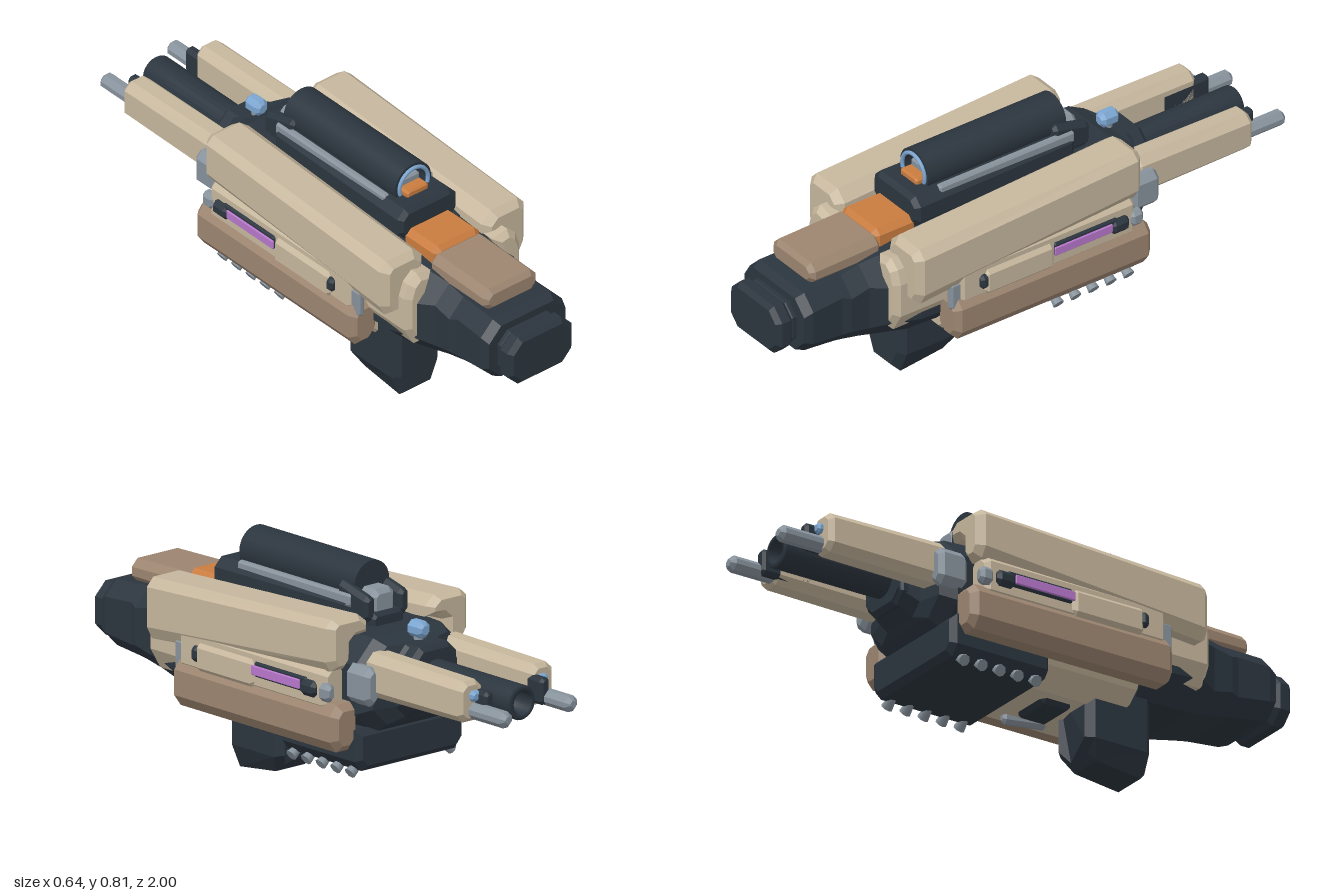
import * as THREE from 'three';

const mat = (name, color) => new THREE.MeshStandardMaterial({ name, color });

export function createModel() {
  const root = new THREE.Group();
  root.name = 'sciFiRifle';
  const dark = mat('darkMetal', 0x2b353e), tan = mat('sandArmour', 0xc6b79d), brown = mat('brownArmour', 0x9c8570);
  const orange = mat('orangeAccent', 0xc97c3e), grey = mat('greyMetal', 0x87929c);
  const blue = mat('blueGlow', 0x7ba5d0), purple = mat('purpleLight', 0xb877cc);

  const add = (name, geo, material, parent = root) => {
    const m = new THREE.Mesh(geo, material);
    m.name = name;
    parent.add(m);
    return m;
  };

  // Octagonal outline of a chamfered rectangle
  const octagon = (x0, x1, y0, y1, c) => [[x0 + c, y0], [x1 - c, y0], [x1, y0 + c], [x1, y1 - c],
    [x1 - c, y1], [x0 + c, y1], [x0, y1 - c], [x0, y0 + c]];

  // Outline extruded from z0 to z1 with a chamfered rim; warp may reshape it
  const prism = (pts, z0, z1, b = 0.015, warp) => {
    const shape = new THREE.Shape(pts.map(p => new THREE.Vector2(p[0], p[1])));
    const g = new THREE.ExtrudeGeometry(shape, { depth: z1 - z0 - 2 * b, bevelEnabled: b > 0,
      bevelSize: b, bevelThickness: b, bevelOffset: -b, bevelSegments: 1, curveSegments: 20 });
    g.translate(0, 0, z0 + b);
    if (warp) {
      const p = g.attributes.position, v = new THREE.Vector3();
      for (let i = 0; i < p.count; i++) {
        warp(v.fromBufferAttribute(p, i));
        p.setXYZ(i, v.x, v.y, v.z);
      }
      g.computeVertexNormals();
    }
    return g;
  };
  const block = (x0, x1, y0, y1, z0, z1, c = 0.015, warp) =>
    prism(octagon(x0, x1, y0, y1, c), z0, z1, Math.min(c, 0.02) * 0.8, warp);

  // Octagonal sections [z, halfWidth, y0, y1, chamfer], listed by rising z
  const loft = sections => {
    const rings = sections.map(([z, w, y0, y1, c]) => octagon(-w, w, y0, y1, c).map(p => [p[0], p[1], z]));
    const pos = rings.flat(2), idx = [], last = (rings.length - 1) * 8;
    for (let r = 0; r < rings.length - 1; r++) for (let i = 0; i < 8; i++) {
      const a = r * 8 + i, b = r * 8 + (i + 1) % 8;
      idx.push(a, b, b + 8, a, b + 8, a + 8);
    }
    for (let i = 1; i < 7; i++) idx.push(0, i + 1, i, last, last + i, last + i + 1);
    const g = new THREE.BufferGeometry();
    g.setAttribute('position', new THREE.Float32BufferAttribute(pos, 3));
    g.setIndex(idx);
    const flat = g.toNonIndexed();
    flat.computeVertexNormals();
    return flat;
  };
  const rod = (r0, r1, z0, z1, x, y, n = 24) =>
    new THREE.CylinderGeometry(r1, r0, z1 - z0, n).rotateX(Math.PI / 2).translate(x, y, (z0 + z1) / 2);

  // Core body, stock and butt
  add('coreBody', loft([[-0.5, 0.09, 0.41, 0.57, 0.03], [-0.43, 0.11, 0.36, 0.6, 0.04], [-0.41, 0.19, 0.34, 0.6, 0.06],
    [-0.36, 0.225, 0.3, 0.62, 0.08], [-0.1, 0.22, 0.28, 0.63, 0.07], [0.4, 0.22, 0.27, 0.61, 0.07],
    [0.44, 0.2, 0.27, 0.6, 0.07]]), dark);
  add('stock', loft([[0.38, 0.225, 0.26, 0.6, 0.08], [0.5, 0.225, 0.265, 0.59, 0.08], [0.61, 0.205, 0.28, 0.575, 0.08],
    [0.67, 0.175, 0.29, 0.565, 0.06], [0.74, 0.175, 0.305, 0.55, 0.06], [0.77, 0.165, 0.31, 0.55, 0.05],
    [0.89, 0.17, 0.325, 0.545, 0.05], [0.92, 0.16, 0.335, 0.53, 0.05]]), dark);
  add('buttNeck', block(-0.125, 0.12, 0.345, 0.505, 0.9, 0.95, 0.04), dark);
  add('buttPlate', block(-0.14, 0.13, 0.333, 0.513, 0.935, 1.0, 0.045), dark);
  add('cheekRest', block(-0.115, 0.107, 0.54, 0.625, 0.57, 0.85, 0.025,
    v => { if (v.z > 0.7 && v.y > 0.58) v.y -= 0.006; }), brown);
  add('orangeCover', block(-0.1, 0.095, 0.56, 0.642, 0.42, 0.585, 0.02), orange);

  // Offset pistol grip
  add('grip', prism([[-0.15, 0.08], [-0.115, 0], [0.01, 0], [0.045, 0.08], [0.045, 0.32], [-0.15, 0.32]],
    0.2, 0.45, 0.025, v => { if (v.y < 0.06 && v.z < 0.3) { v.y += 0.02; v.z += 0.03; } }), dark);

  // Underside: sand keel, dark box and lever
  add('keel', prism([[-0.22, 0.31], [-0.2, 0.26], [-0.13, 0.2], [0.13, 0.2], [0.2, 0.26], [0.22, 0.31]],
    -0.02, 0.36, 0.012), tan);
  add('underBox', prism([[-0.23, 0.33], [-0.23, 0.225], [-0.2, 0.19], [0.2, 0.19], [0.23, 0.225], [0.23, 0.33]],
    -0.385, 0.0, 0.02), dark);
  add('lever', block(0.078, 0.11, 0.17, 0.235, 0.03, 0.2, 0.012,
    v => { v.y += Math.max(0, v.z - 0.06) * 0.15; }), grey);
  add('leverHousing', block(-0.1, 0.07, 0.185, 0.25, 0.06, 0.18, 0.02), dark);

  for (const s of [1, -1]) {
    const side = new THREE.Group();
    side.name = s > 0 ? 'leftSide' : 'rightSide';
    root.add(side);
    const mir = pts => pts.map(([x, y]) => [s * x, y]);
    const put = (name, m, x0, x1, y0, y1, z0, z1, c, warp) =>
      add(name, prism(mir(octagon(x0, x1, y0, y1, c)), z0, z1, Math.min(c, 0.02) * 0.8, warp), m, side);

    // Large upper shell, shallower towards the muzzle
    add('upperPanel', prism(mir([[0.165, 0.695], [0.275, 0.695], [0.303, 0.66], [0.303, 0.5], [0.28, 0.45], [0.225, 0.45],
      [0.2, 0.49], [0.2, 0.57], [0.18, 0.595], [0.125, 0.6], [0.125, 0.65]]), -0.33, 0.57, 0.025, v => {
      const t = (0.57 - v.z) / 0.9, k = (v.y - 0.45) / 0.245;
      v.y = THREE.MathUtils.lerp(0.45 + 0.075 * t, 0.655 + 0.04 * t, k);
    }), tan, side);
    // Shoulder collar around the stock
    add('shoulder', prism(mir([[0.13, 0.585], [0.19, 0.6], [0.225, 0.57], [0.242, 0.52], [0.242, 0.4], [0.2, 0.33],
      [0.16, 0.33], [0.16, 0.5]]), 0.38, 0.615, 0.02), tan, side);
    // Middle and lower shells
    put('middlePanel', tan, 0.2, 0.3, 0.38, 0.54, -0.3, 0.4, 0.03);
    put('middleBulge', tan, 0.25, 0.314, 0.39, 0.505, 0.03, 0.31, 0.025);
    add('lowerPanel', prism(mir([[0.2, 0.3], [0.235, 0.262], [0.285, 0.262], [0.313, 0.3], [0.313, 0.385], [0.285, 0.42],
      [0.2, 0.42]]), -0.36, 0.425, 0.022), brown, side);
    // Light strip and its fittings
    put('stripBed', dark, 0.29, 0.309, 0.44, 0.49, -0.22, 0.03, 0.006);
    put('lightStrip', purple, 0.308, 0.316, 0.447, 0.48, -0.195, 0.035, 0.003);
    put('stripCap', dark, 0.28, 0.32, 0.43, 0.485, -0.265, -0.195, 0.016);
    put('bulgePlug', dark, 0.28, 0.318, 0.43, 0.482, 0.295, 0.325, 0.012);
    put('stripEnd', grey, 0.27, 0.312, 0.425, 0.485, -0.325, -0.275, 0.015);
    put('sideLatch', grey, 0.262, 0.29, 0.378, 0.48, 0.37, 0.43, 0.01);
    // Muzzle side: bracket, sand prong, grey tip, blue lamp
    put('muzzleBracket', grey, 0.18, 0.245, 0.42, 0.55, -0.44, -0.33, 0.025);
    put('prong', tan, 0.1, 0.205, 0.44, 0.588, -0.84, -0.38, 0.028,
      v => { if (v.z < -0.6) v.y = 0.51 + (v.y - 0.51) * 0.92; });
    put('prongTip', grey, 0.112, 0.168, 0.455, 0.508, -1.0, -0.78, 0.018);
    put('prongBack', dark, 0.1, 0.14, 0.46, 0.55, -0.89, -0.7, 0.012);
    put('prongLamp', blue, 0.125, 0.165, 0.515, 0.55, -0.858, -0.82, 0.01);
    // Teeth below the dark box
    for (let i = 0; i < 5; i++) {
      const tooth = add('tooth', new THREE.CylinderGeometry(0.007, 0.02, 0.08, 8), grey, side);
      tooth.rotation.z = s * 1.0;
      tooth.position.set(s * 0.185, 0.2, -0.05 - i * 0.07);
    }
    // Sight rail and clamp ears
    put('sightRail', grey, 0.078, 0.105, 0.68, 0.722, -0.2, 0.335, 0.007);
    put('clampEar', dark, 0.05, 0.095, 0.64, 0.755, -0.27, -0.13, 0.015,
      v => { if (v.y > 0.7 && v.z < -0.2) v.y -= 0.03; });
  }

  // Barrel with hollow mouth
  const bore = [[0, -0.4], [0.058, -0.4], [0.058, -0.905], [0.053, -0.912], [0.038, -0.912], [0.038, -0.8], [0, -0.8]];
  add('barrel', prism([...Array(24)].map((_, i) => {
    const a = i / 24 * Math.PI * 2;
    return [0.058 * Math.cos(a), 0.495 + 0.058 * Math.sin(a)];
  }), -0.8, -0.4, 0), dark);
  add('barrelMouth', new THREE.LatheGeometry(bore.slice(2).map(([r, z]) => new THREE.Vector2(r, -z)).reverse()
    .concat(new THREE.Vector2(0.058, 0.79)), 24).rotateX(-Math.PI / 2).translate(0, 0.495, 0),
  dark).material.side = THREE.DoubleSide;
  add('barrelShroud', block(-0.1, 0.1, 0.39, 0.6, -0.5, -0.35, 0.04), dark);

  // Blue knob above the muzzle
  add('knobStem', new THREE.CylinderGeometry(0.015, 0.018, 0.04, 12).translate(-0.005, 0.605, -0.41), grey);
  add('knob', block(-0.032, 0.022, 0.607, 0.662, -0.445, -0.375, 0.016), blue);

  // Sight: base, tube, hood, glowing arch and sight plates
  add('sightBase', block(-0.125, 0.12, 0.6, 0.715, -0.2, 0.44, 0.03,
    v => { if (v.z < 0.34) v.x *= 0.92; }), dark);
  add('sightTube', rod(0.075, 0.075, -0.19, 0.32, -0.003, 0.74, 32), dark);
  const hood = new THREE.Shape().absarc(-0.003, 0.74, 0.075, 0, Math.PI * 2);
  hood.holes.push(new THREE.Path().absarc(-0.003, 0.74, 0.055, 0, Math.PI * 2, true));
  add('sightHood', new THREE.ExtrudeGeometry(hood, { depth: 0.05, bevelEnabled: false, curveSegments: 24 })
    .translate(0, 0, 0.31), dark);
  add('sightArch', new THREE.TorusGeometry(0.06, 0.007, 8, 32, Math.PI * 1.2).rotateZ(-Math.PI * 0.1)
    .translate(-0.003, 0.74, 0.363), blue);
  add('sightPlate', block(-0.045, 0.04, 0.72, 0.76, 0.3, 0.345, 0.008), grey);
  add('sightOrange', block(-0.048, 0.043, 0.7, 0.736, 0.3, 0.385, 0.008), orange);
  add('clampCore', block(-0.05, 0.05, 0.62, 0.735, -0.255, -0.15, 0.02), grey);
  add('clampBar', block(-0.07, 0.07, 0.6, 0.665, -0.275, -0.15, 0.015), dark);
  return root;
}
